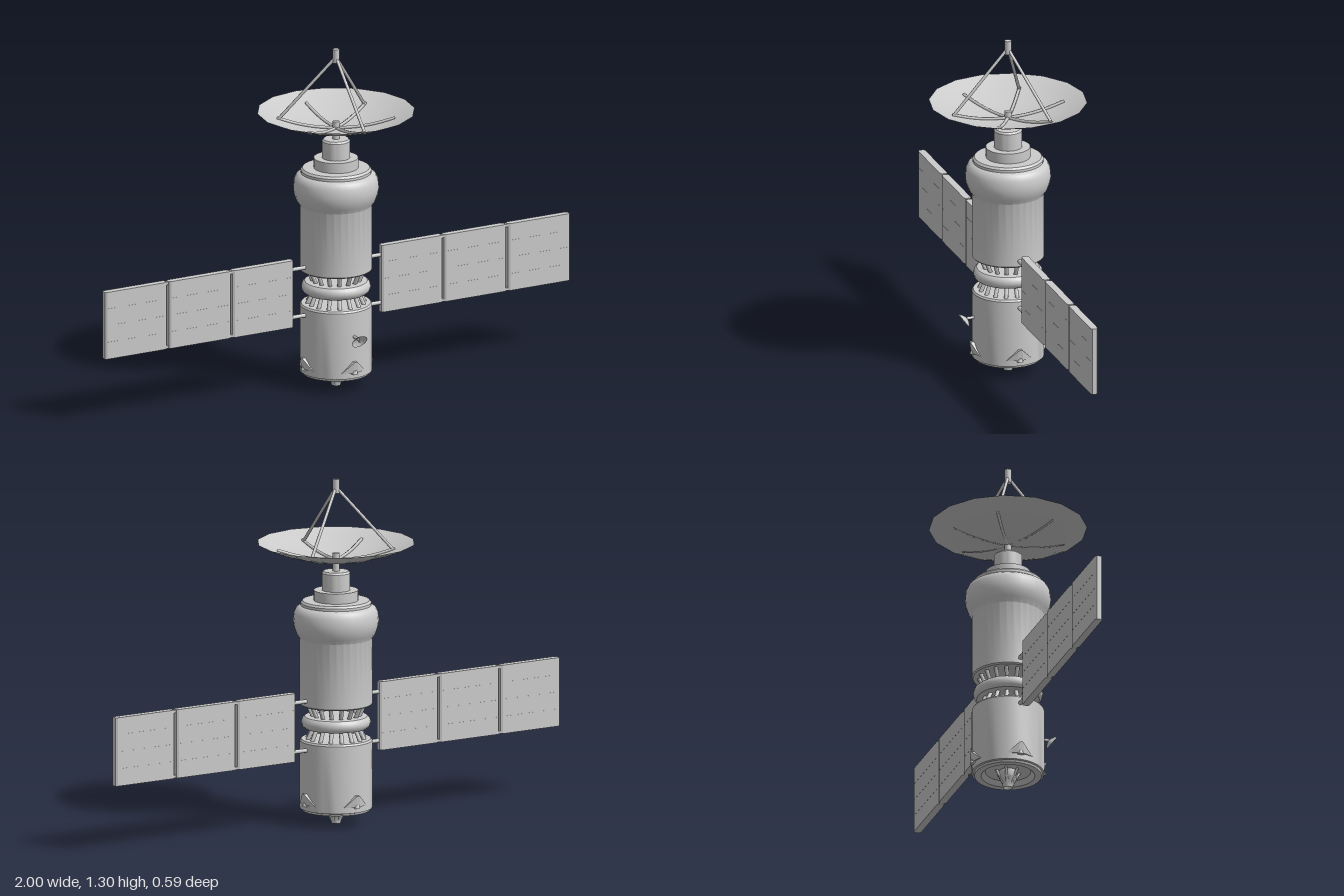
import * as THREE from 'three';
import { toCreasedNormals } from 'three/addons/utils/BufferGeometryUtils.js';
import { ConvexGeometry } from 'three/addons/geometries/ConvexGeometry.js';

const grey = new THREE.MeshStandardMaterial({ color: 0xcccccc });
const thin = new THREE.MeshStandardMaterial({ color: 0xcccccc, side: THREE.DoubleSide });
const V = (x, y, z) => new THREE.Vector3(x, y, z);

function add(parent, name, geometry, material = grey) {
  const mesh = new THREE.Mesh(geometry, material);
  mesh.name = name;
  parent.add(mesh);
  return mesh;
}

// Turned part from [radius, height] pairs, listed bottom to top
function turned(parent, name, profile, sides = 32, material = grey) {
  const geo = new THREE.LatheGeometry(profile.map(([r, y]) => new THREE.Vector2(r, y)), sides);
  return add(parent, name, toCreasedNormals(geo, 0.6), material);
}

// Straight round bar between two points
function bar(parent, name, a, b, r1, r2 = r1, sides = 8) {
  const mesh = add(parent, name, new THREE.CylinderGeometry(r2, r1, a.distanceTo(b), sides));
  mesh.position.copy(a).lerp(b, 0.5);
  mesh.quaternion.setFromUnitVectors(V(0, 1, 0), b.clone().sub(a).normalize());
  return mesh;
}

const polar = (angle, r, y) => V(Math.sin(angle) * r, y, Math.cos(angle) * r);
const dishHeight = (r) => 0.995 + 0.07 * (r / 0.295) ** 2;

function addBody(group) {
  turned(group, 'lowerBody', [
    [0, 0.068], [0.085, 0.068], [0.1, 0.05], [0.125, 0.05], [0.128, 0.058],
    [0.135, 0.06], [0.135, 0.315], [0.13, 0.322], [0, 0.322],
  ]);
  turned(group, 'upperBody', [
    [0, 0.45], [0.13, 0.45], [0.135, 0.455], [0.135, 0.703], [0.148, 0.722], [0.157, 0.748],
    [0.16, 0.77], [0.157, 0.8], [0.149, 0.818], [0.137, 0.826], [0.132, 0.828],
    [0.132, 0.838], [0.125, 0.846], [0.083, 0.846], [0.083, 0.885],
    [0.053, 0.885], [0.053, 0.95], [0.047, 0.957], [0, 0.957],
  ]);
  // Rounded ring between the two bodies, held by slanted struts
  turned(group, 'middleRing', [
    [0, 0.364], [0.1, 0.361], [0.117, 0.363], [0.126, 0.371], [0.13, 0.385],
    [0.126, 0.399], [0.117, 0.407], [0.1, 0.409], [0, 0.406],
  ]);
  for (let i = 0; i < 16; i++) {
    const a = (i / 16) * Math.PI * 2;
    bar(group, 'lowerStrut', polar(a, 0.108, 0.318), polar(a, 0.085, 0.368), 0.008);
    bar(group, 'upperStrut', polar(a, 0.085, 0.402), polar(a, 0.108, 0.454), 0.008);
  }
}

function addEngine(group) {
  turned(group, 'engineNozzle', [
    [0, 0.012], [0.012, 0.012], [0.017, 0], [0.019, 0.008], [0.024, 0.025], [0.034, 0.04], [0.034, 0.07],
  ], 16, thin);
  for (let i = 0; i < 6; i++) {
    const a = (i / 6) * Math.PI * 2;
    bar(group, 'engineStrut', polar(a, 0.018, 0.016), polar(a, 0.046, 0.07), 0.005);
  }
  // Wedge-shaped thruster pods on the four sides
  const corners = [];
  for (const s of [-1, 1]) {
    corners.push(V(s * 0.05, 0.083, 0.118), V(s * 0.05, 0.083, 0.128));
    corners.push(V(s * 0.012, 0.083, 0.142));
    corners.push(V(s * 0.006, 0.126, 0.118), V(s * 0.006, 0.126, 0.149));
  }
  for (let i = 0; i < 4; i++) {
    const pod = new THREE.Group();
    pod.name = 'thrusterPod';
    pod.rotation.y = (i * Math.PI) / 2;
    add(pod, 'podWedge', new ConvexGeometry(corners));
    bar(pod, 'podNozzle', V(0, 0.078, 0.138), V(0, 0.092, 0.138), 0.012, 0.008, 12);
    group.add(pod);
  }
}

function addMainDish(group) {
  bar(group, 'mast', V(0, 0.95, 0), V(0, 1.025, 0), 0.013, 0.013, 12);
  const profile = [];
  for (let i = 0; i <= 8; i++) profile.push([0.295 * i / 8, dishHeight(0.295 * i / 8)]);
  turned(group, 'mainDish', profile, 16, thin);
  // Tripod, feed and curved ribs lying on the dish
  bar(group, 'feed', V(0, 1.252, 0), V(0, 1.305, 0), 0.013, 0.013, 12);
  for (let i = 0; i < 6; i++) {
    const a = (i * Math.PI) / 3;
    if (i % 2 === 0) {
      bar(group, 'tripodLeg', polar(a, 0.215, dishHeight(0.215)), polar(a, 0.006, 1.268), 0.006);
    }
    const path = new THREE.CatmullRomCurve3(
      [0.01, 0.08, 0.15, 0.22].map((r) => polar(a, r, dishHeight(r) + 0.004)));
    add(group, 'dishRib', new THREE.TubeGeometry(path, 8, 0.006, 6));
  }
}

function addSmallDish(group) {
  const dish = new THREE.Group();
  dish.name = 'smallDish';
  dish.position.set(0, 0.212, 0.174);
  dish.quaternion.setFromUnitVectors(V(0, 1, 0), V(0, -0.59, 0.81).normalize());
  turned(dish, 'smallReflector', [[0, -0.016], [0.012, -0.014], [0.023, -0.008], [0.032, 0]], 16, thin);
  bar(dish, 'smallFeed', V(0, -0.016, 0), V(0, 0.004, 0), 0.004, 0.002);
  group.add(dish);
  bar(group, 'smallDishArm', V(0, 0.222, 0.125), V(0, 0.221, 0.162), 0.006);
}

function addSolarWing(group, side) {
  const wing = new THREE.Group();
  wing.name = side > 0 ? 'leftSolarWing' : 'rightSolarWing';
  for (const [x0, x1] of [[0.19, 0.45], [0.46, 0.725], [0.735, 1]]) {
    const cx = side * (x0 + x1) / 2, w = x1 - x0;
    // Panel with edges tapered towards the joints
    const outline = new THREE.Shape([
      [-w / 2, -0.009], [-w / 2 + 0.008, -0.014], [w / 2 - 0.008, -0.014], [w / 2, -0.009],
      [w / 2, 0.009], [w / 2 - 0.008, 0.014], [-w / 2 + 0.008, 0.014], [-w / 2, 0.009],
    ].map(([x, z]) => new THREE.Vector2(x, z)));
    const geo = new THREE.ExtrudeGeometry(outline, { depth: 0.26, bevelEnabled: false });
    geo.rotateX(-Math.PI / 2);
    add(wing, 'solarPanel', geo).position.set(cx, 0.255, 0);
    // Fine seams across the cells, on both faces
    for (let i = 1; i < 4; i++) {
      add(wing, 'cellSeam', new THREE.BoxGeometry(w - 0.02, 0.002, 0.029))
        .position.set(cx, 0.255 + i * 0.065, 0);
    }
  }
  // Hinges bridging the gaps between panels
  for (const x of [0.455, 0.73]) {
    for (const y of [0.26, 0.508]) {
      add(wing, 'panelHinge', new THREE.BoxGeometry(0.012, 0.01, 0.016)).position.set(side * x, y, 0);
    }
  }
  for (const y of [0.29, 0.476]) {
    bar(wing, 'wingArm', V(side * 0.12, y, 0), V(side * 0.195, y, 0), 0.008);
  }
  group.add(wing);
}

export function createModel() {
  const group = new THREE.Group();
  group.name = 'satellite';
  addBody(group);
  addEngine(group);
  addMainDish(group);
  addSmallDish(group);
  for (const side of [-1, 1]) addSolarWing(group, side);
  return group;
}
